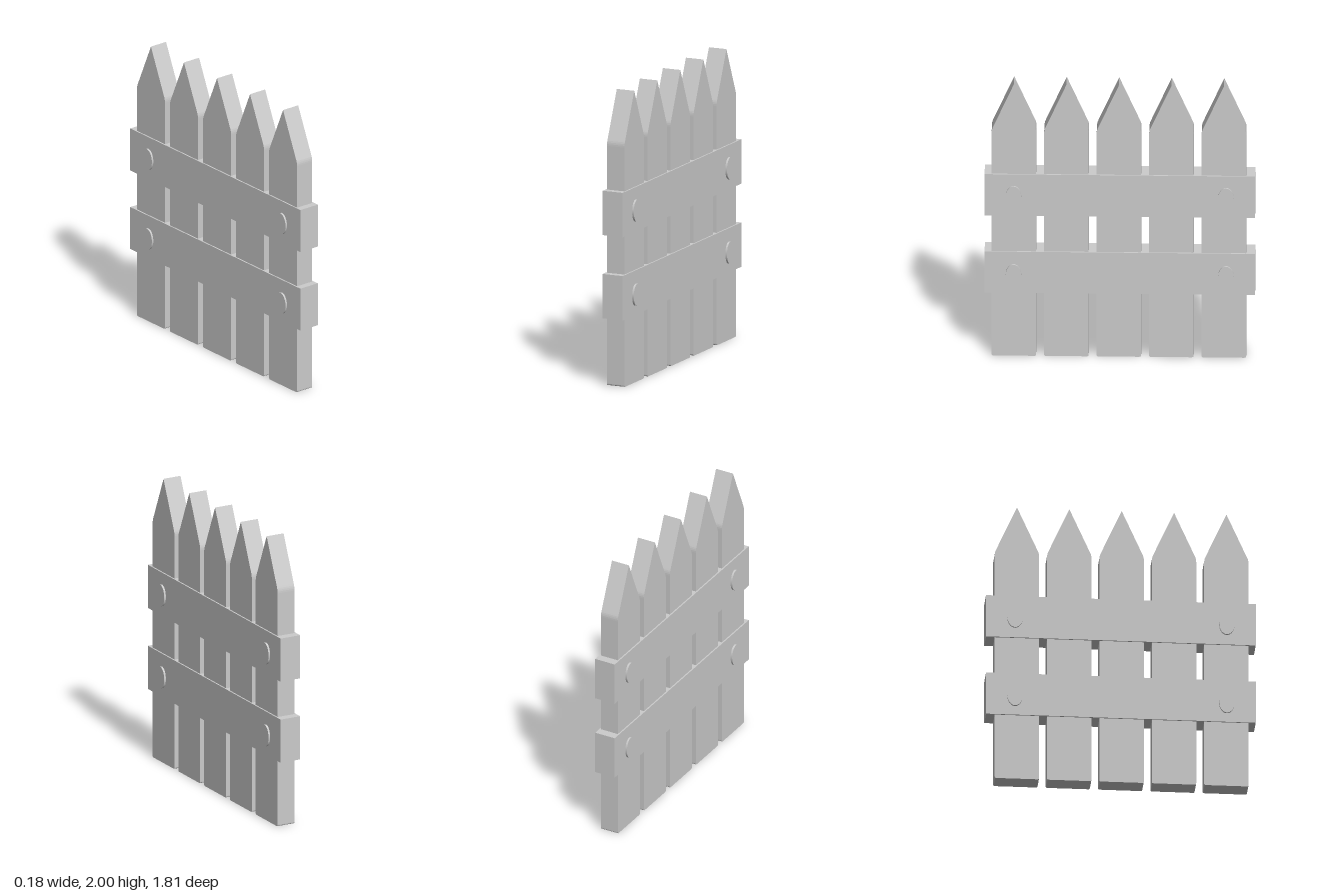
import * as THREE from 'three';

const material = new THREE.MeshStandardMaterial({ color: 0xcccccc });

function add(group, name, geometry, x, y, z) {
  const mesh = new THREE.Mesh(geometry, material);
  mesh.name = name;
  mesh.position.set(x, y, z);
  group.add(mesh);
  return mesh;
}

// Pointed board with softened shoulders and bottom corners, thickness along x
function picketGeometry() {
  const w = 0.149, c = 0.012, thickness = 0.13;
  const s = new THREE.Shape();
  s.moveTo(-w + c, 0);
  s.lineTo(w - c, 0);
  s.quadraticCurveTo(w, 0, w, c);
  s.lineTo(w, 1.64);
  s.quadraticCurveTo(w, 1.665, w - 0.01, 1.685);
  s.lineTo(0, 2);
  s.lineTo(-w + 0.01, 1.685);
  s.quadraticCurveTo(-w, 1.665, -w, 1.64);
  s.lineTo(-w, c);
  s.quadraticCurveTo(-w, 0, -w + c, 0);
  const g = new THREE.ExtrudeGeometry(s, { depth: thickness, bevelEnabled: false, curveSegments: 4 });
  g.translate(0, 0, -thickness / 2);
  return g.rotateY(Math.PI / 2);
}

export function createModel() {
  const fence = new THREE.Group();
  fence.name = 'picketFence';

  // Five pickets
  const picket = picketGeometry();
  for (let i = -2; i <= 2; i++) add(fence, 'picket', picket, 0, 0, 0.006 + i * 0.351);

  // Two cross rails enclosing the pickets
  const rail = new THREE.BoxGeometry(0.15, 0.304, 1.808);
  for (const y of [0.619, 1.189]) add(fence, 'rail', rail, 0, y, 0);

  // Oval bolt heads on both faces of each rail
  const bolt = new THREE.CylinderGeometry(1, 1, 0.03, 32);
  bolt.rotateZ(Math.PI / 2).scale(1, 0.075, 0.052);
  for (const y of [0.605, 1.182])
    for (const z of [-0.71, 0.71])
      for (const side of [-1, 1]) add(fence, 'bolt', bolt, side * 0.073, y, z);

  return fence;
}
